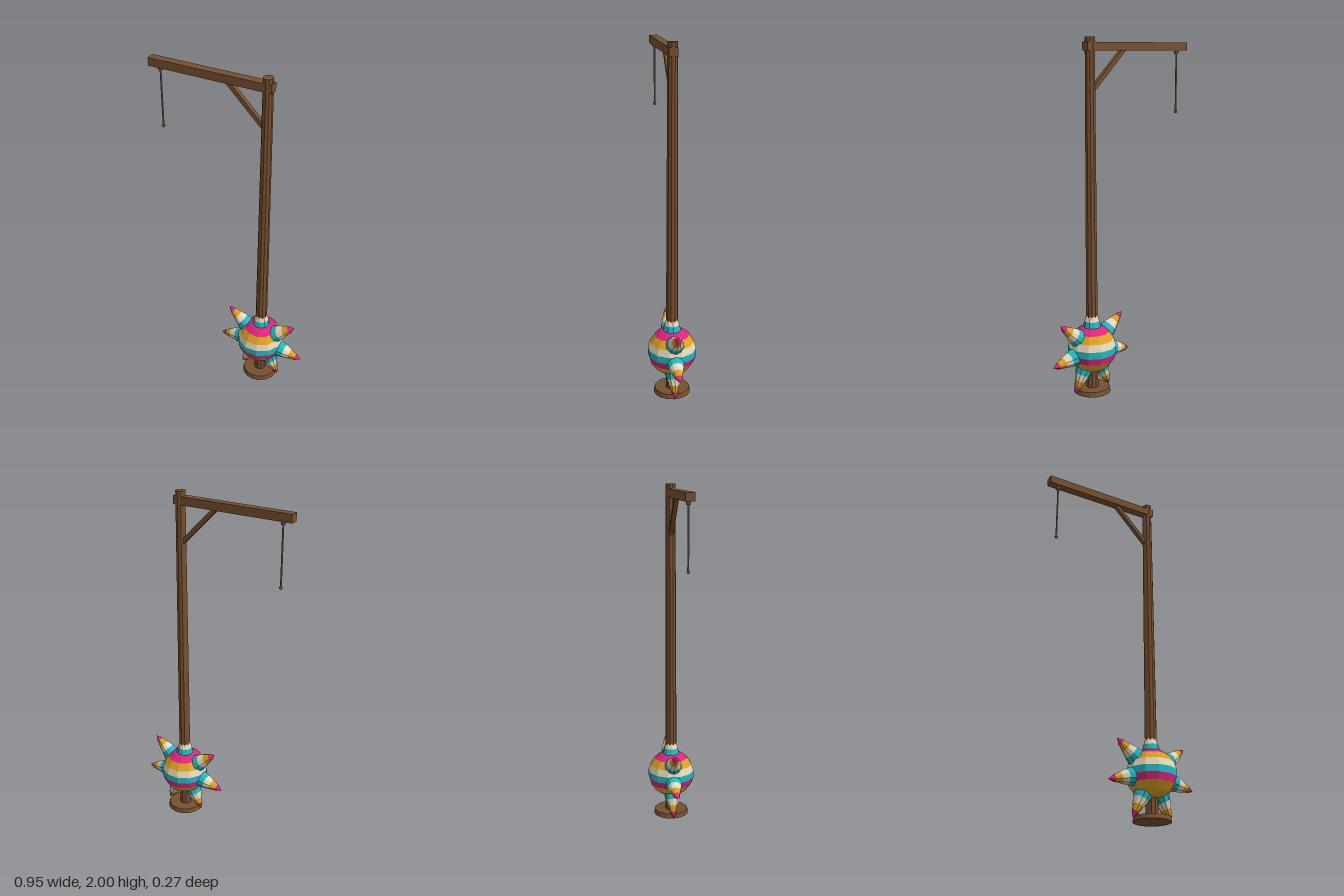
import * as THREE from 'three';

const mat = (name, color) => {
  const m = new THREE.MeshStandardMaterial({ color, flatShading: true });
  m.name = name;
  return m;
};

export function createModel() {
  const wood = mat('brown wood', 0x775030);
  const teal = mat('teal paper', 0x20b8c2);
  const pink = mat('pink paper', 0xe0247f);
  const orange = mat('orange paper', 0xdda020);
  const cream = mat('cream paper', 0xe8dabc);
  const grey = mat('grey rope', 0x77756a);

  const model = new THREE.Group();
  model.name = 'starPinataPost';
  const postX = 0.203, ballY = 0.26;

  const add = (parent, name, geometry, material, x = 0, y = 0, z = 0) => {
    const mesh = new THREE.Mesh(geometry, material);
    mesh.name = name;
    mesh.position.set(x, y, z);
    parent.add(mesh);
    return mesh;
  };
  // points run bottom to top as [radius, height]
  const lathe = (points, sides) => new THREE.LatheGeometry(
    points.map(([r, y]) => new THREE.Vector2(r, y)), sides, Math.PI / sides);

  // Wooden stand
  add(model, 'base', new THREE.CylinderGeometry(0.1, 0.106, 0.027, 16), wood, postX, 0.0135);
  add(model, 'post', new THREE.CylinderGeometry(0.028, 0.036, 1.98, 10), wood, postX, 1.01);
  add(model, 'arm', new THREE.BoxGeometry(0.715, 0.046, 0.048), wood, -0.1225, 1.95);
  const from = new THREE.Vector2(-0.025, 1.935), to = new THREE.Vector2(0.2, 1.71);
  const brace = add(model, 'brace', new THREE.BoxGeometry(from.distanceTo(to), 0.024, 0.026), wood,
    (from.x + to.x) / 2, (from.y + to.y) / 2);
  brace.rotation.z = Math.atan2(to.y - from.y, to.x - from.x);

  // Hanging rope with a knot at each end
  const rope = new THREE.Group();
  rope.name = 'rope';
  rope.position.x = -0.42;
  model.add(rope);
  add(rope, 'ropeCord', new THREE.CylinderGeometry(0.005, 0.005, 0.345, 8), grey, 0, 1.75);
  add(rope, 'ropeMount', new THREE.CylinderGeometry(0.014, 0.012, 0.018, 8), grey, 0, 1.917);
  add(rope, 'ropeKnot', new THREE.SphereGeometry(0.01, 8, 6), grey, 0, 1.578);

  // Striped ball
  const ball = new THREE.Group();
  ball.name = 'pinata';
  ball.position.set(postX, ballY, 0);
  model.add(ball);
  const R = 0.141;
  const at = (y) => [Math.sqrt(Math.max(0, R * R - y * y)), y];
  const bands = [
    [orange, [-R, -0.125, -0.1, -0.06]],
    [pink, [-0.06, -0.02]],
    [teal, [-0.02, 0.02]],
    [cream, [0.02, 0.06]],
    [orange, [0.06, 0.1]],
    [pink, [0.1, 0.125, R]],
  ];
  bands.forEach(([m, ys], i) => add(ball, `ballBand${i + 1}`, lathe(ys.map(at), 12), m));

  // Seven striped spikes around the ball
  const stripes = [
    [teal, [0.057, 0.105], [0.043, 0.163]],
    [cream, [0.043, 0.163], [0.031, 0.202]],
    [orange, [0.031, 0.202], [0.019, 0.24]],
    [pink, [0.021, 0.24], [0, 0.277]],
  ];
  for (let i = 0; i < 7; i++) {
    const spike = new THREE.Group();
    spike.name = `spike${i + 1}`;
    spike.rotation.z = (i * 2 * Math.PI) / 7;
    stripes.forEach(([m, a, b], k) => add(spike, `spikeStripe${k + 1}`, lathe([a, b], 10), m));
    ball.add(spike);
  }
  return model;
}
